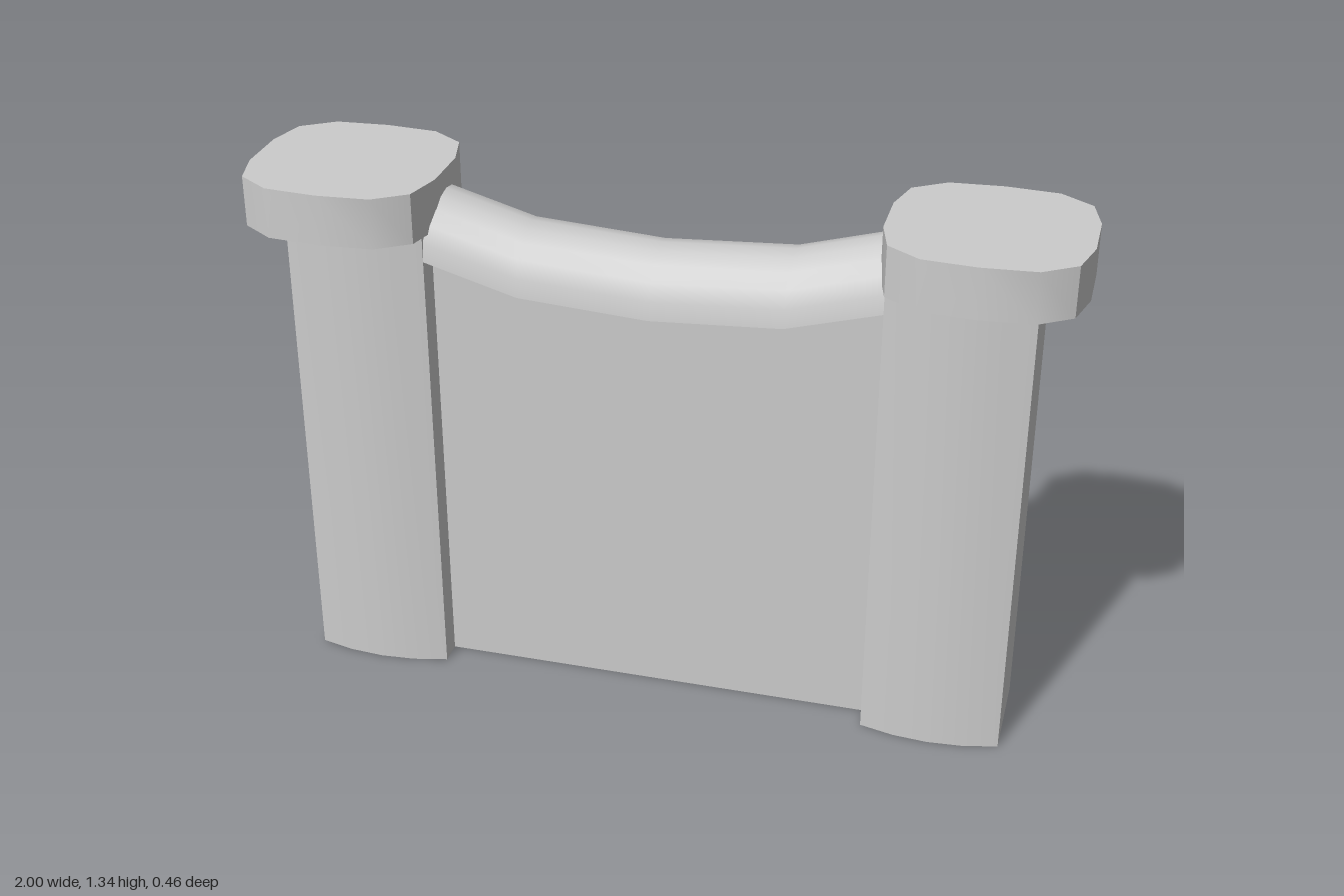
import * as THREE from 'three';
import { toCreasedNormals } from 'three/addons/utils/BufferGeometryUtils.js';

const material = new THREE.MeshStandardMaterial({ color: 0xcccccc, side: THREE.DoubleSide });

const PILLAR_IN = 0.55, PILLAR_OUT = 0.895, PILLAR_TOP = 1.21;
const DEPTH = 0.126, BULGE = 0.027, PANEL_Z = 0.065;
const RAIL_HEIGHT = 0.147;

// Sagging line under the rail: [x, y]
const half = [[0, 1.06], [0.32, 1.08], [0.55, 1.145]];
const mirrorLine = (pts) => [...pts.slice(1).reverse().map(([x, y]) => [-x, y]), ...pts];

// Skin a list of cross-sections (each a list of [x, y, z])
function loft(sections) {
  const n = sections[0].length;
  const index = [];
  for (let i = 0; i < sections.length - 1; i++) {
    for (let j = 0; j < n - 1; j++) {
      const a = i * n + j, b = a + n;
      index.push(a, b, a + 1, b, b + 1, a + 1);
    }
  }
  const geometry = new THREE.BufferGeometry();
  geometry.setAttribute('position', new THREE.Float32BufferAttribute(sections.flat(2), 3));
  geometry.setIndex(index);
  return toCreasedNormals(geometry, 0.6);
}

// Hollow pillar: bowed front and back, flat outer end, inner wall open to the panel
function pillarGeometry() {
  const front = [];
  for (let k = 0; k <= 4; k++) {
    const t = k / 4;
    front.push([THREE.MathUtils.lerp(PILLAR_IN, PILLAR_OUT, t), DEPTH + BULGE * 4 * t * (1 - t)]);
  }
  front.unshift([PILLAR_IN, PANEL_Z]);
  const plan = [...front, ...front.slice().reverse().map(([x, z]) => [x, -z])];
  return loft(plan.map(([x, z]) => [[x, 0, z], [x, PILLAR_TOP, z]]));
}

// Rounded-square cap slab
function capGeometry() {
  const q = [[0.235, 0.07], [0.21, 0.168], [0.13, 0.222], [0, 0.232]];
  const right = [...q.slice().reverse().map(([x, z]) => [x, -z]), ...q];
  const left = right.slice(1, -1).reverse().map(([x, z]) => [-x, z]);
  const shape = new THREE.Shape([...right, ...left].map(([x, z]) => new THREE.Vector2(x, z)));
  const geometry = new THREE.ExtrudeGeometry(shape, { depth: 0.125, bevelEnabled: false });
  geometry.rotateX(-Math.PI / 2).translate(0.765, 1.21, 0);
  return toCreasedNormals(geometry, 0.6);
}

// Domed rail with a flat underside on each side of the panel
function railGeometry() {
  const line = mirrorLine([...half, [0.64, 1.178]]);
  const profile = [[PANEL_Z, 0]];
  for (let k = 0; k <= 10; k++) {
    const a = (k / 10) * Math.PI;
    profile.push([DEPTH * Math.cos(a), RAIL_HEIGHT * Math.sin(a)]);
  }
  profile.push([-PANEL_Z, 0]);
  return loft(line.map(([x, y]) => profile.map(([z, h]) => [x, y + h, z])));
}

export function createModel() {
  const group = new THREE.Group();
  const add = (name, geometry, turned) => {
    const mesh = new THREE.Mesh(geometry, material);
    mesh.name = name;
    if (turned) mesh.rotation.y = Math.PI;
    group.add(mesh);
  };

  const pillar = pillarGeometry(), cap = capGeometry();
  const panel = loft(mirrorLine(half).map(([x, y]) => [[x, 0, PANEL_Z], [x, y, PANEL_Z]]));

  add('leftPillar', pillar, false);
  add('rightPillar', pillar, true);
  add('leftCap', cap, false);
  add('rightCap', cap, true);
  add('frontPanel', panel, false);
  add('backPanel', panel, true);
  add('topRail', railGeometry(), false);
  return group;
}
